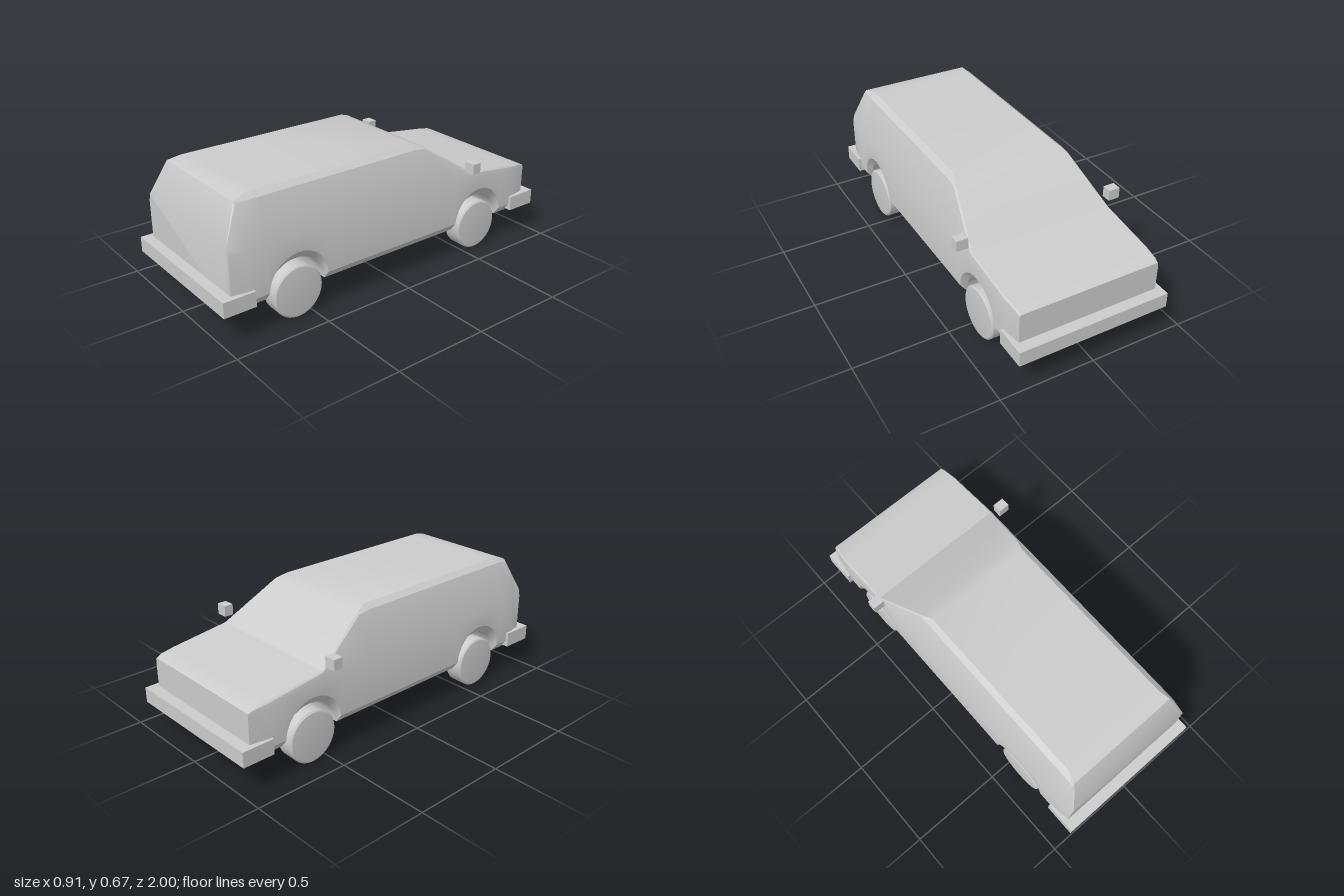
import * as THREE from 'three';
import { toCreasedNormals } from 'three/addons/utils/BufferGeometryUtils.js';

const AXLE = 0.585, ARCH_R = 0.165, SILL = 0.145;
const material = new THREE.MeshStandardMaterial({ color: 0xcccccc });

// Key stations along the car, nose at -z:
// z, top y, top x, upper y, upper x, shoulder y, side x, underside y
const STATIONS = [
  [-0.942, 0.395, 0.368, 0.39, 0.373, 0.37, 0.375, 0.16],
  [-0.915, 0.408, 0.371, 0.402, 0.377, 0.38, 0.379, 0.155],
  [-0.84, 0.418, 0.378, 0.411, 0.385, 0.39, 0.39, SILL],
  [-0.525, 0.458, 0.38, 0.452, 0.386, 0.43, 0.391, SILL],
  [-0.24, 0.648, 0.312, 0.637, 0.323, 0.44, 0.391, SILL],
  [-0.18, 0.669, 0.29, 0.645, 0.32, 0.44, 0.391, SILL],
  [0.8, 0.669, 0.29, 0.645, 0.32, 0.44, 0.391, SILL],
  [0.866, 0.651, 0.308, 0.638, 0.32, 0.44, 0.39, SILL],
  [0.945, 0.475, 0.364, 0.465, 0.368, 0.43, 0.376, 0.16],
];

function stationAt(z) {
  let i = 0;
  while (i < STATIONS.length - 2 && z > STATIONS[i + 1][0]) i++;
  const a = STATIONS[i], b = STATIONS[i + 1];
  const t = (z - a[0]) / (b[0] - a[0]);
  return a.map((v, k) => v + (b[k] - v) * t);
}

// One closed cross-section, counter-clockwise seen from +z
function crossSection(z) {
  const [, topY, topX, upY, upX, shoulderY, sideX, underY] = stationAt(z);
  const d = Math.abs(Math.abs(z) - AXLE);
  const arch = d < ARCH_R ? 0.14 + Math.sqrt(ARCH_R * ARCH_R - d * d) : 0;
  const low = Math.max(underY, arch);
  const half = [
    [sideX - 0.034, low], [sideX, low + 0.045],
    [sideX, shoulderY], [upX, upY], [topX, topY],
  ];
  const mirrored = half.map(([x, y]) => [-x, y]).reverse();
  return [...half, ...mirrored].map(([x, y]) => [x, y, z]);
}

function bodyGeometry() {
  // Stations plus finer steps through the wheel arches
  const zs = STATIONS.map(s => s[0]);
  for (const side of [-1, 1]) {
    for (let i = 0; i <= 20; i++) {
      zs.push(side * AXLE - ARCH_R * Math.cos((i / 20) * Math.PI));
    }
  }
  zs.sort((a, b) => a - b);
  const rings = zs.map(crossSection);
  const n = rings[0].length, last = rings.length - 1;
  const index = [];
  for (let k = 0; k < last; k++) {
    for (let j = 0; j < n; j++) {
      const a = k * n + j, b = k * n + (j + 1) % n;
      index.push(a, b, b + n, a, b + n, a + n);
    }
  }
  // Nose and tail faces
  for (let j = 1; j < n - 1; j++) {
    index.push(0, j + 1, j);
    index.push(last * n, last * n + j, last * n + j + 1);
  }
  const geo = new THREE.BufferGeometry();
  geo.setAttribute('position', new THREE.Float32BufferAttribute(rings.flat(2), 3));
  geo.setIndex(index);
  return toCreasedNormals(geo, 0.45);
}

// Wheel with its axis along +x, slightly rounded on the outer shoulder
function wheelGeometry() {
  const profile = [
    [0, 0.29], [0.135, 0.29], [0.136, 0.376], [0.128, 0.383], [0.09, 0.387], [0, 0.387],
  ].map(([r, x]) => new THREE.Vector2(r, x));
  const geo = new THREE.LatheGeometry(profile, 28);
  geo.rotateZ(-Math.PI / 2);
  return toCreasedNormals(geo, 0.5);
}

export function createModel() {
  const car = new THREE.Group();
  car.name = 'estateCar';

  const add = (name, geometry, x, y, z) => {
    const mesh = new THREE.Mesh(geometry, material);
    mesh.name = name;
    mesh.position.set(x, y, z);
    car.add(mesh);
    return mesh;
  };

  add('body', bodyGeometry(), 0, 0, 0);

  // Bumpers at both ends
  const bumper = new THREE.BoxGeometry(0.81, 0.08, 0.17);
  add('frontBumper', bumper, 0, 0.199, -0.915);
  add('rearBumper', bumper, 0, 0.199, 0.915);

  // Wheels and door mirrors on both sides
  const wheel = wheelGeometry();
  const mirror = new THREE.BoxGeometry(0.061, 0.057, 0.05);
  for (const side of [-1, 1]) {
    const label = side > 0 ? 'Left' : 'Right';
    for (const end of [-1, 1]) {
      const mesh = add((end < 0 ? 'front' : 'rear') + label + 'Wheel', wheel, 0, 0.137, end * AXLE);
      if (side < 0) mesh.rotation.y = Math.PI;
    }
    add('doorMirror' + label, mirror, side * 0.423, 0.509, -0.49);
  }
  return car;
}
